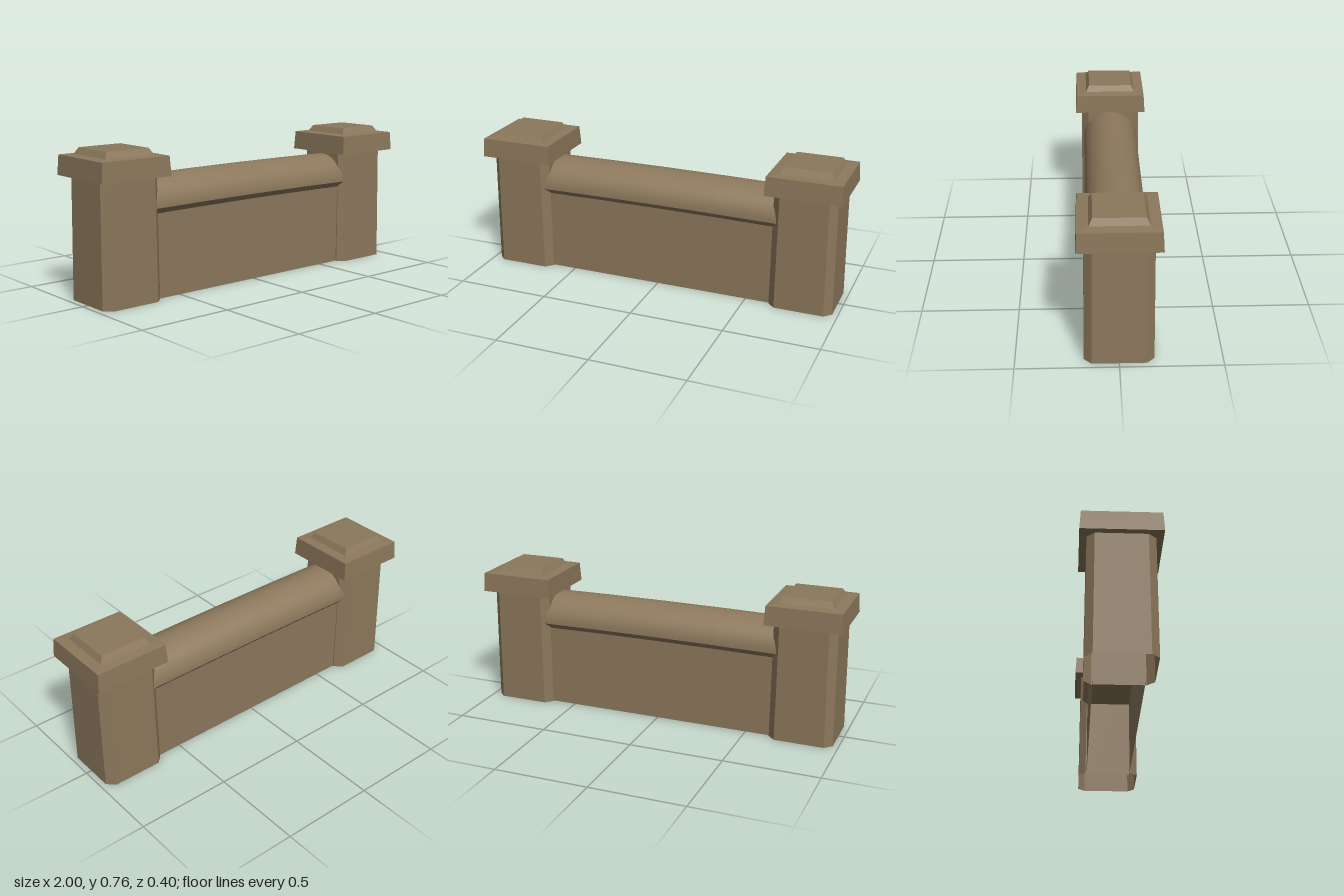
import * as THREE from 'three';
import { toCreasedNormals } from 'three/addons/utils/BufferGeometryUtils.js';

// Horizontal outline, optionally with chamfered corners, counterclockwise from above
function outline(hx, hz, y, c = 0) {
  const pts = c
    ? [[hx, hz - c], [hx, c - hz], [hx - c, -hz], [c - hx, -hz], [-hx, c - hz], [-hx, hz - c], [c - hx, hz], [hx - c, hz]]
    : [[hx, hz], [hx, -hz], [-hx, -hz], [-hx, hz]];
  return pts.map(([x, z]) => new THREE.Vector3(x, y, z));
}

// Faceted skin through a stack of outlines, listed from bottom to top
function loft(rings, closeTop, closeBottom) {
  const points = [];
  const n = rings[0].length;
  for (let r = 0; r < rings.length - 1; r++) {
    for (let i = 0; i < n; i++) {
      const j = (i + 1) % n;
      const a = rings[r][i], b = rings[r][j], c = rings[r + 1][j], d = rings[r + 1][i];
      points.push(a, b, c, a, c, d);
    }
  }
  const top = rings[rings.length - 1], bottom = rings[0];
  for (let i = 1; i < n - 1; i++) {
    if (closeTop) points.push(top[0], top[i], top[i + 1]);
    if (closeBottom) points.push(bottom[0], bottom[i + 1], bottom[i]);
  }
  const geometry = new THREE.BufferGeometry().setFromPoints(points);
  geometry.computeVertexNormals();
  return geometry;
}

// Rounded coping with a bevelled underside, running along x and rising slightly mid-span
function copingGeometry(length) {
  const shape = new THREE.Shape();
  shape.moveTo(-0.125, 0.435);
  shape.lineTo(0.125, 0.435);
  shape.lineTo(0.152, 0.465);
  shape.absellipse(0, 0.465, 0.152, 0.149, 0, Math.PI, false, 0);
  shape.closePath();
  const geometry = new THREE.ExtrudeGeometry(shape, {
    depth: length, steps: 4, bevelEnabled: false, curveSegments: 16,
  });
  geometry.translate(0, 0, -length / 2);
  geometry.rotateY(Math.PI / 2);
  const pos = geometry.attributes.position;
  for (let i = 0; i < pos.count; i++) {
    const t = pos.getX(i) / (length / 2);
    pos.setY(i, pos.getY(i) + 0.005 * (1 - t * t));
  }
  return toCreasedNormals(geometry, 0.55);
}

export function createModel() {
  const model = new THREE.Group();
  model.name = 'lowWall';
  const stone = new THREE.MeshStandardMaterial({ color: 0x8c785c, side: THREE.DoubleSide });
  stone.name = 'brownStone';

  const add = (parent, name, geometry) => {
    const mesh = new THREE.Mesh(geometry, stone);
    mesh.name = name;
    parent.add(mesh);
  };

  // Wall between the posts, open underneath
  add(model, 'wall', loft([outline(0.66, 0.125, 0), outline(0.66, 0.125, 0.45)], true, false));
  add(model, 'coping', copingGeometry(1.32));

  // Tapered, chamfered posts with stepped caps
  const postGeometry = loft([outline(0.17, 0.17, 0, 0.038), outline(0.165, 0.165, 0.63, 0.038)], false, false);
  const capGeometry = loft([
    outline(0.2, 0.2, 0.627),
    outline(0.194, 0.194, 0.728),
    outline(0.14, 0.14, 0.733),
    outline(0.122, 0.122, 0.765),
  ], true, true);
  for (const side of [-1, 1]) {
    const pillar = new THREE.Group();
    pillar.name = side > 0 ? 'leftPillar' : 'rightPillar';
    pillar.position.x = side * 0.8;
    add(pillar, 'post', postGeometry);
    add(pillar, 'cap', capGeometry);
    model.add(pillar);
  }
  return model;
}
